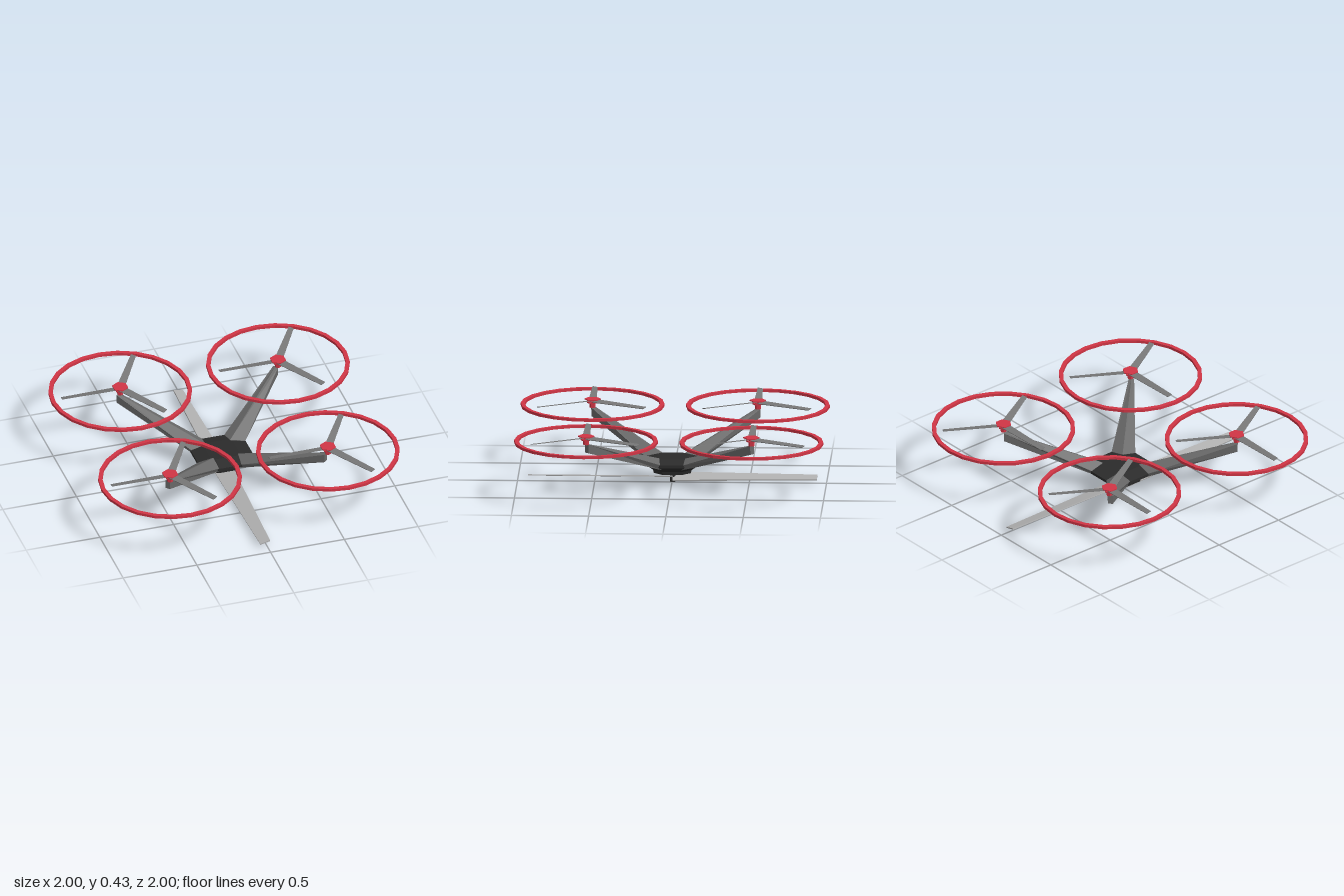
import * as THREE from 'three';

const mat = (color) => new THREE.MeshStandardMaterial({ color, flatShading: true });
const dark = mat(0x2b2b2b), armGrey = mat(0x6a6a6a), bladeGrey = mat(0x777777);
const lightGrey = mat(0xb0b0b0), red = mat(0xd03545);

function mesh(name, geometry, material, parent, x = 0, y = 0, z = 0) {
  const m = new THREE.Mesh(geometry, material);
  m.name = name;
  m.position.set(x, y, z);
  parent.add(m);
  return m;
}

// Faceted solid through equal-length loops, counter-clockwise seen from the last one
function loft(sections) {
  const out = [];
  const tri = (a, b, c) => out.push(...a, ...b, ...c);
  const n = sections[0].length;
  for (let i = 0; i < sections.length - 1; i++) {
    const lo = sections[i], hi = sections[i + 1];
    for (let j = 0; j < n; j++) {
      const k = (j + 1) % n;
      tri(lo[j], lo[k], hi[k]);
      tri(lo[j], hi[k], hi[j]);
    }
  }
  const first = sections[0], last = sections[sections.length - 1];
  for (let j = 1; j < n - 1; j++) {
    tri(first[0], first[j + 1], first[j]);
    tri(last[0], last[j], last[j + 1]);
  }
  const g = new THREE.BufferGeometry();
  g.setAttribute('position', new THREE.Float32BufferAttribute(out, 3));
  g.computeVertexNormals();
  return g;
}

// Tapered, pitched blade along +x
function bladeGeometry(stations, thickness, pitch) {
  const t = thickness / 2, c = Math.cos(pitch), s = Math.sin(pitch);
  return loft(stations.map(([x, w]) =>
    [[t, -w], [t, w], [-t, w], [-t, -w]].map(([y, z]) => [x, y * c - z * s, y * s + z * c])));
}

// Chamfered square, counter-clockwise from above
function octagon(y, h, k) {
  return [[h, k], [h, -k], [k, -h], [-k, -h], [-h, -k], [-h, k], [-k, h], [k, h]]
    .map(([x, z]) => [x, y, z]);
}

export function createModel() {
  const model = new THREE.Group();
  model.name = 'quadcopter';

  // Frame sits slightly off the rotor centre
  const frame = new THREE.Group();
  frame.name = 'frame';
  frame.position.set(-0.014, 0, -0.004);
  model.add(frame);

  mesh('body', loft([
    octagon(0.07, 0.12, 0.06), octagon(0.092, 0.125, 0.065), octagon(0.11, 0.15, 0.07),
    octagon(0.13, 0.186, 0.077), octagon(0.148, 0.186, 0.077), octagon(0.168, 0.1, 0.07),
  ]), dark, frame);

  // Four arms rising from the chamfered corners to narrow upright tips
  const armSection = (ridge, side, base) => [
    [ridge[0], ridge[1], 0],
    [side[0], side[1], side[2]], [base[0], base[1], base[2]],
    [base[0], base[1], -base[2]], [side[0], side[1], -side[2]],
  ];
  const armGeo = loft([
    armSection([0.118, 0.172], [0.184, 0.15, 0.077], [0.155, 0.11, 0.064]),
    armSection([0.757, 0.37], [0.757, 0.366, 0.018], [0.757, 0.308, 0.016]),
  ]);
  for (let i = 0; i < 4; i++) {
    mesh('arm', armGeo, armGrey, frame).rotation.y = Math.PI / 4 + i * Math.PI / 2;
  }

  // Large two-bladed propeller below the body
  mesh('mainShaft', new THREE.CylinderGeometry(0.019, 0.019, 0.08, 6), dark, frame, 0, 0.04, 0);
  const mainBlade = bladeGeometry([[0, 0.06], [0.2, 0.055], [0.935, 0.034]], 0.008, 0.24);
  for (const side of [1, -1]) {
    mesh('mainBlade', mainBlade, lightGrey, frame, 0, 0.035, 0).rotation.y = side * Math.PI / 2;
  }

  // Four small rotors, each inside a guard ring
  const ringGeo = new THREE.LatheGeometry(
    [[0.438, -0.009], [0.465, -0.009], [0.465, 0.009], [0.438, 0.009], [0.438, -0.009]]
      .map(([r, y]) => new THREE.Vector2(r, y)), 24);
  const capGeo = new THREE.CylinderGeometry(0.053, 0.053, 0.006, 6);
  const collarGeo = new THREE.CylinderGeometry(0.035, 0.035, 0.008, 6);
  const stemGeo = new THREE.CylinderGeometry(0.02, 0.02, 0.055, 6);
  const smallBlade = bladeGeometry([[0.01, 0.026], [0.397, 0.017]], 0.004, 0.2);
  for (const sx of [1, -1]) {
    for (const sz of [1, -1]) {
      const rotor = new THREE.Group();
      rotor.name = 'rotor';
      rotor.position.set(sx * 0.535, 0, sz * 0.535);
      model.add(rotor);
      mesh('guardRing', ringGeo, red, rotor, 0, 0.386, 0);
      mesh('rotorCap', capGeo, red, rotor, 0, 0.422, 0);
      mesh('rotorCollar', collarGeo, red, rotor, 0, 0.4, 0);
      mesh('rotorStem', stemGeo, red, rotor, 0, 0.394, 0);
      for (let i = 0; i < 3; i++) {
        mesh('rotorBlade', smallBlade, bladeGrey, rotor, 0, 0.411, 0).rotation.y =
          Math.PI + i * Math.PI * 2 / 3;
      }
    }
  }
  return model;
}
